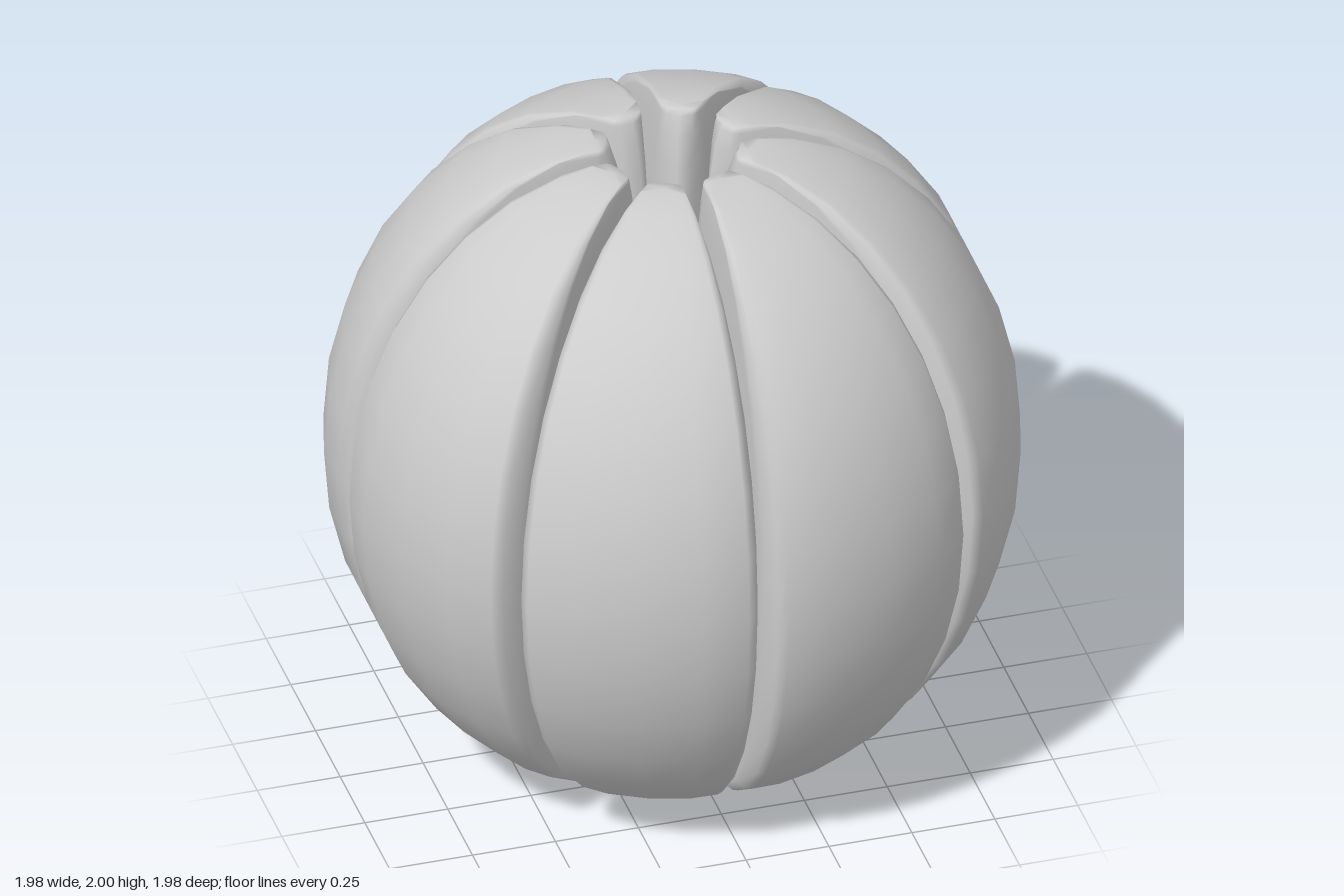
import * as THREE from 'three';

// Half of the wedge's cross-section at mid height: radial, sideways, share of width kept at the ends
const HALF = [
  [0.097, 0, 0], [0.15, 0.045, 0.8], [0.25, 0.096, 1], [0.5, 0.201, 1],
  [0.8, 0.325, 1], [0.838, 0.336, 1], [0.908, 0.343, 0.9], [0.938, 0.323, 0.8],
  [0.991, 0.194, 0.5], [1.012, 0, 0],
];
const POLE = 0.2;        // radius the section shrinks towards
const END_WIDTH = 0.045; // half width left at the blunt ends

function segmentGeometry() {
  // Full closed loop: out along one side, back along the other
  const loop = [
    ...HALF.map(([u, v, w]) => [u, -v, -w]),
    ...HALF.slice(1, -1).reverse(),
  ];
  const n = loop.length;
  const step = Math.PI / 16;
  const last = THREE.MathUtils.degToRad(86);
  const angles = [-last];
  for (let i = -7; i <= 7; i++) angles.push(i * step);
  angles.push(last);

  const pos = [], index = [];
  for (const a of angles) {
    const s = Math.cos(a), y = 1 + Math.sin(a) / Math.sin(last);
    for (const [u, v, w] of loop) {
      pos.push(POLE + (u - POLE) * s, y, v * s + w * END_WIDTH * (1 - s));
    }
  }
  for (let i = 0; i < angles.length - 1; i++) {
    for (let j = 0; j < n; j++) {
      const a = i * n + j, b = i * n + (j + 1) % n;
      index.push(a, a + n, b, b, a + n, b + n);
    }
  }
  // Small flat ends
  const top = (angles.length - 1) * n, c = pos.length / 3;
  pos.push(POLE + 0.02, 0, 0, POLE + 0.02, 2, 0);
  for (let j = 0; j < n; j++) {
    const k = (j + 1) % n;
    index.push(c, j, k, c + 1, top + k, top + j);
  }
  const g = new THREE.BufferGeometry();
  g.setAttribute('position', new THREE.Float32BufferAttribute(pos, 3));
  g.setIndex(index);
  g.computeVertexNormals();
  return g;
}

export function createModel() {
  const group = new THREE.Group();
  group.name = 'segmentedFruit';
  const grey = new THREE.MeshStandardMaterial({ color: 0xcccccc });
  grey.name = 'light grey';
  const geometry = segmentGeometry();
  // Eight equal segments around the open core
  for (let k = 0; k < 8; k++) {
    const segment = new THREE.Mesh(geometry, grey);
    segment.name = `segment${k + 1}`;
    segment.rotation.y = (k + 0.5) * Math.PI / 4;
    group.add(segment);
  }
  return group;
}
